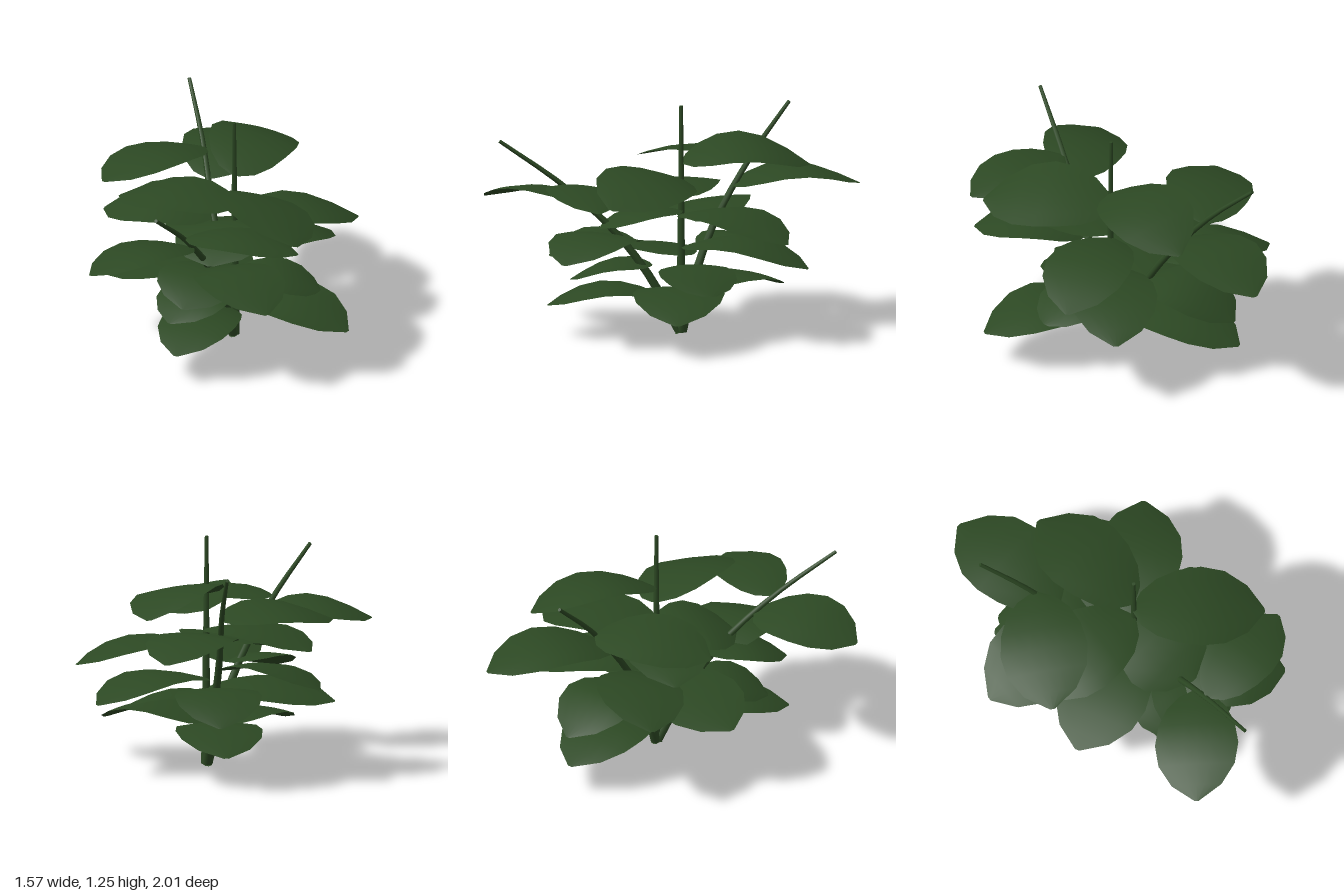
import * as THREE from 'three';

const green = new THREE.MeshStandardMaterial({ color: 0x2c4823, side: THREE.DoubleSide });
green.name = 'leaf green';

// half width of a leaf at stations from its base to its tip
const PROFILE = [[0, 0.02], [0.06, 0.1], [0.18, 0.17], [0.34, 0.215], [0.52, 0.235], [0.7, 0.215], [0.87, 0.14], [1, 0.012]];
const COLS = 6;

// arched blade from base to tip; roll lifts the blade's right-hand side, seen looking from base to tip
function leafGeometry(base, tip, { arch = 0.1, roll = 0, width = 1 } = {}) {
  const a = new THREE.Vector3(...base), b = new THREE.Vector3(...tip);
  const dir = b.clone().sub(a).setY(0).normalize();
  const side = new THREE.Vector3(-dir.z, roll, dir.x);
  const pos = [], index = [];
  PROFILE.forEach(([t, half], i) => {
    for (let j = 0; j <= COLS; j++) {
      const u = (j / COLS) * 2 - 1;
      const p = a.clone().lerp(b, t).addScaledVector(side, u * half * width);
      p.y += arch * Math.sin(Math.PI * t) - 0.08 * half * u * u;
      pos.push(p.x, p.y, p.z);
      if (i && j) {
        const k = i * (COLS + 1) + j, m = k - COLS - 1;
        index.push(m - 1, m, k - 1, m, k, k - 1);
      }
    }
  });
  const g = new THREE.BufferGeometry();
  g.setAttribute('position', new THREE.Float32BufferAttribute(pos, 3));
  g.setIndex(index);
  g.computeVertexNormals();
  return g;
}

// tapering round stem through the given points, with end caps
function stem(points, r0, r1) {
  const group = new THREE.Group();
  const curve = new THREE.CatmullRomCurve3(points.map(p => new THREE.Vector3(...p)));
  const segs = 12, sides = 8;
  const g = new THREE.TubeGeometry(curve, segs, 1, sides);
  const pos = g.attributes.position, v = new THREE.Vector3();
  for (let i = 0; i < pos.count; i++) {
    const t = Math.floor(i / (sides + 1)) / segs, c = curve.getPointAt(t);
    v.fromBufferAttribute(pos, i).sub(c).multiplyScalar(r0 + (r1 - r0) * t).add(c);
    pos.setXYZ(i, v.x, Math.max(v.y, 0), v.z);
  }
  g.computeVertexNormals();
  group.add(new THREE.Mesh(g, green));
  [[0, r0, -1], [1, r1, 1]].forEach(([t, r, sign]) => {
    const cap = new THREE.Mesh(new THREE.CircleGeometry(r, sides), green);
    const c = curve.getPointAt(t);
    cap.position.copy(c);
    cap.lookAt(c.clone().addScaledVector(curve.getTangentAt(t), sign));
    cap.name = 'stemEnd';
    group.add(cap);
  });
  group.children[0].name = 'stemTube';
  return group;
}

const STEMS = {
  uprightStem: [[0.075, 0.004, -0.055], [0.073, 0.6, -0.055], [0.07, 1.24, -0.055]],
  backStem: [[0.06, 0.004, -0.06], [-0.04, 0.3, -0.13], [-0.17, 0.58, -0.24], [-0.36, 0.91, -0.44], [-0.545, 1.14, -0.62]],
  frontStem: [[0.07, 0.004, -0.045], [0.09, 0.29, 0.1], [0.11, 0.56, 0.3], [0.135, 0.82, 0.58], [0.16, 1.06, 0.915]],
};

// base, tip, options
const LEAVES = {
  uprightStemLeaves: [
    [[0.07, 0.93, -0.06], [-0.1, 0.89, -0.74], { arch: 0.11, roll: -0.17 }],
    [[0.07, 0.84, -0.06], [0.67, 0.79, 0.31], { arch: 0.075, roll: 0.25, width: 1.05 }],
    [[0.07, 0.74, -0.05], [-0.61, 0.68, 0.0], { arch: 0.07 }],
    [[0.07, 0.65, -0.06], [0.5, 0.57, -0.63], { arch: 0.09 }],
    [[0.07, 0.67, -0.06], [0.18, 0.59, 0.38], { arch: 0.05, roll: -0.08, width: 1.1 }],
    [[0.07, 0.47, -0.06], [0.26, 0.39, -0.74], { arch: 0.095 }],
    [[0.06, 0.42, -0.05], [-0.52, 0.36, 0.31], { arch: 0.05, roll: -0.12, width: 1.05 }],
    [[0.07, 0.22, -0.05], [0.78, 0.18, -0.05], { arch: 0.11, width: 1.05 }],
    [[0.07, 0.37, -0.06], [0.51, 0.28, -0.23], { arch: 0.06, width: 0.9 }],
  ],
  backStemLeaves: [
    [[-0.33, 0.87, -0.41], [-0.6, 0.835, 0.19], { arch: 0.07, roll: -0.13 }],
    [[-0.24, 0.74, -0.32], [-0.44, 0.72, -1.0], { arch: 0.1 }],
    [[-0.17, 0.56, -0.23], [-0.79, 0.51, -0.14], { arch: 0.09, roll: 0.12 }],
    [[-0.09, 0.43, -0.17], [-0.46, 0.32, -0.57], { arch: 0.1 }],
    [[0.0, 0.23, -0.1], [-0.49, 0.16, -0.56], { arch: 0.085 }],
  ],
  frontStemLeaves: [
    [[0.14, 0.82, 0.57], [0.72, 0.78, 0.37], { arch: 0.055, roll: 0.05, width: 0.8 }],
    [[0.13, 0.73, 0.48], [-0.2, 0.69, 1.0], { arch: 0.075, roll: -0.15, width: 0.95 }],
    [[0.1, 0.51, 0.24], [0.64, 0.48, 0.56], { arch: 0.1 }],
    [[0.1, 0.52, 0.2], [0.17, 0.44, 0.65], { arch: 0.06, roll: 0.1, width: 0.95 }],
    [[0.08, 0.37, 0.1], [0.02, 0.28, 0.54], { arch: 0.06, width: 0.9 }],
    [[0.07, 0.2, 0.04], [0.13, 0.16, 0.66], { arch: 0.085, width: 0.9 }],
  ],
};

export function createModel() {
  const plant = new THREE.Group();
  plant.name = 'plant';
  for (const [name, points] of Object.entries(STEMS)) {
    const s = stem(points, 0.026, 0.01);
    s.name = name;
    plant.add(s);
  }
  for (const [name, leaves] of Object.entries(LEAVES)) {
    const group = new THREE.Group();
    group.name = name;
    leaves.forEach(args => {
      const leaf = new THREE.Mesh(leafGeometry(...args), green);
      leaf.name = 'leaf';
      group.add(leaf);
    });
    plant.add(group);
  }
  return plant;
}
